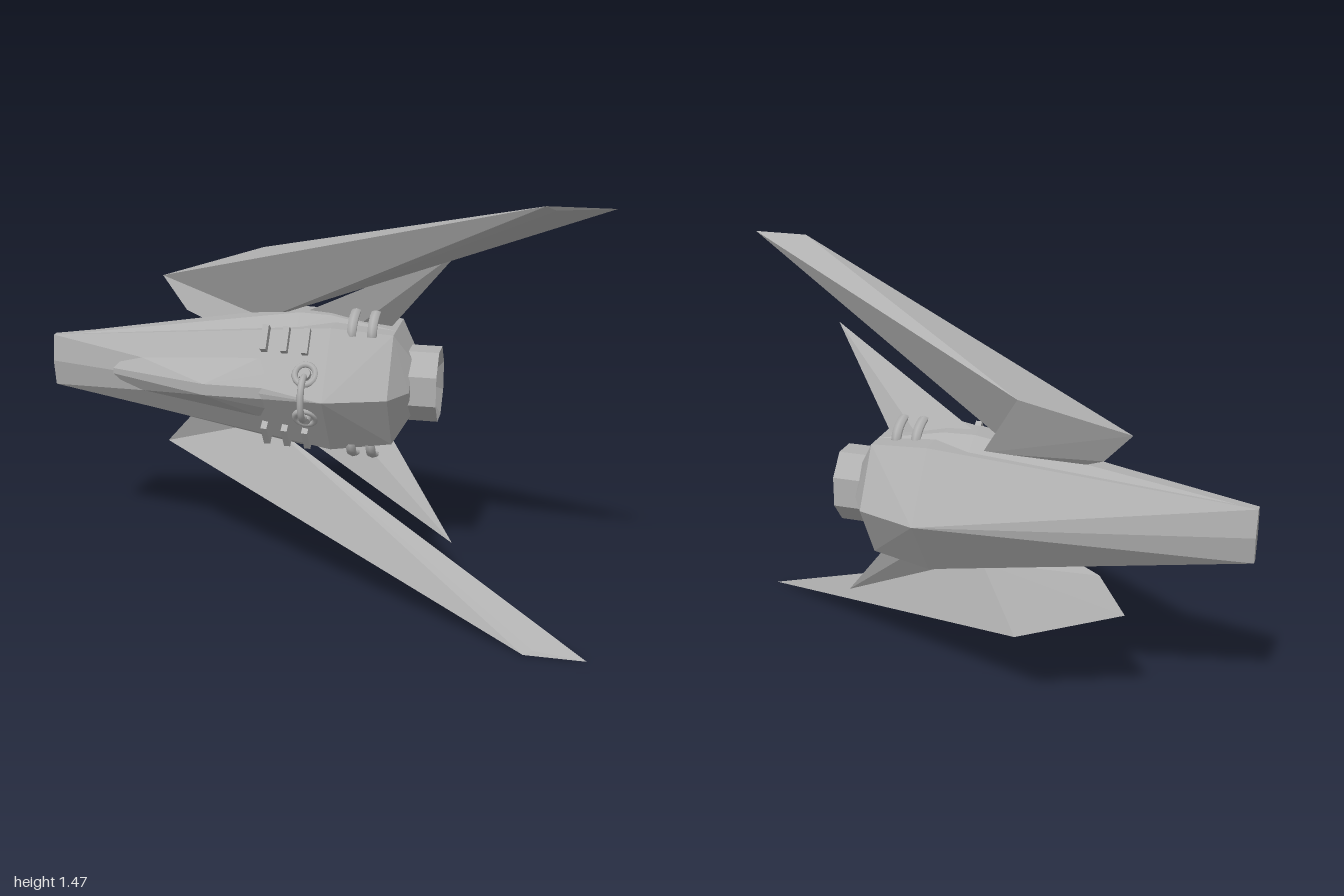
import * as THREE from 'three';
import { ConvexGeometry } from 'three/addons/geometries/ConvexGeometry.js';

const CY = 0.736; // height of the mirror plane between upper and lower halves

export function createModel() {
  const root = new THREE.Group();
  root.name = 'spacecraft';
  const hullGrey = new THREE.MeshStandardMaterial({ color: 0xb0b0b0 });
  hullGrey.name = 'hull grey';

  const add = (name, geo, x = 0, y = 0, z = 0) => {
    const m = new THREE.Mesh(geo, hullGrey);
    m.name = name;
    m.position.set(x, CY + y, z);
    root.add(m);
    return m;
  };
  // faceted solid from corner points; y is measured from the mirror plane
  const solid = (name, pts, s = 1) =>
    add(name, new ConvexGeometry(pts.map(([x, y, z]) => new THREE.Vector3(x, y * s, z))));
  const flat = (geo) => {
    const g = geo.toNonIndexed();
    g.computeVertexNormals();
    return g;
  };
  const bothSides = (pts) => pts.flatMap(([x, y, z]) => [[x, y, z], [x, -y, z]]);

  // hexagonal fuselage: x, half height, rear ridge, rear corner, front corner, front ridge
  const sections = [
    [-1, 0.095, -0.14, -0.125, -0.10, -0.085],
    [0.07, 0.22, -0.412, -0.257, 0.035, 0.19],
    [0.28, 0.197, -0.34, -0.225, 0.0, 0.12],
    [0.34, 0.10, -0.235, -0.17, -0.05, 0.015],
  ];
  solid('fuselage', sections.flatMap(([x, h, zb, zbc, zfc, zf]) =>
    [[x, 0, zb], [x, h, zbc], [x, h, zfc], [x, 0, zf], [x, -h, zfc], [x, -h, zbc]]));

  // raised canopy along the front ridge
  solid('canopy', bothSides([
    [-0.74, 0.01, -0.012], [-0.68, 0.07, -0.025], [-0.18, 0.105, 0.065], [-0.11, 0.07, 0.095],
    [-0.36, 0.02, 0.13], [-0.18, 0.02, 0.13], [-0.12, 0.02, 0.13],
    [-0.68, 0.05, -0.06], [-0.12, 0.07, 0.03],
  ]));

  // eight-sided exhaust with a sunken cone
  const engineShell = new THREE.CylinderGeometry(0.113, 0.113, 0.12, 8, 1, true);
  engineShell.rotateY(Math.PI / 8).rotateZ(-Math.PI / 2).scale(1, 1.2, 1);
  add('engineShell', flat(engineShell), 0.37, 0, -0.11);
  const engineCone = new THREE.CylinderGeometry(0.113, 0.0001, 0.06, 8, 1, true);
  engineCone.rotateY(Math.PI / 8).rotateZ(-Math.PI / 2).scale(1, 1.2, 1);
  // turn the faces inward so the bowl shows from behind
  const idx = engineCone.index.array;
  for (let i = 0; i < idx.length; i += 3) [idx[i], idx[i + 1]] = [idx[i + 1], idx[i]];
  add('engineBowl', flat(engineCone), 0.40, 0, -0.11);

  for (const s of [1, -1]) {
    const side = s > 0 ? 'upper' : 'lower';

    // spine over the fuselage edge
    solid(side + 'Spine', [
      [-0.95, 0.10, -0.125], [-0.95, 0.10, -0.10],
      [-0.06, 0.244, -0.15], [-0.06, 0.244, -0.06], [0.05, 0.24, -0.15], [0.05, 0.24, -0.06],
      [-0.06, 0.2, -0.22], [-0.06, 0.2, 0.0], [0.28, 0.197, -0.16], [0.28, 0.197, -0.06],
    ], s);

    // long forward-swept wing with a triangular root
    const A = [-0.6, 0.319, -0.19], B = [-0.24, 0.424, -0.265], E = [-0.2, 0.195, -0.13];
    solid(side + 'Wing', [A, B, E,
      [0.995, 0.736, 0.415], [0.79, 0.736, 0.415], [0.82, 0.722, 0.405]], s);
    solid(side + 'WingRoot', [A, B, E,
      [-0.5, 0.205, -0.15], [-0.38, 0.16, -0.13], [-0.1, 0.2, -0.19]], s);

    // thin rear fin
    solid(side + 'Fin', [
      [0.51, 0.522, 0.065], [-0.07, 0.225, -0.11], [0.25, 0.19, -0.11],
      [0.14, 0.2, -0.085], [0.14, 0.2, -0.135],
    ], s);

    // curved bands over the spine
    for (const x of [0.14, 0.21]) {
      const band = new THREE.TorusGeometry(0.1, 0.015, 6, 12, Math.PI);
      band.scale(1, 0.65, 1.2).rotateY(Math.PI / 2);
      if (s < 0) band.rotateX(Math.PI);
      add(side + 'Band', band, x, 0.195 * s, -0.075);
    }

    // short ribs on the front facet
    for (const x of [-0.16, -0.085, -0.01]) {
      const drop = (x + 0.01) * 0.13;
      const rib = add(side + 'Rib', new THREE.BoxGeometry(0.022, 0.09, 0.035),
        x, 0.172 * s, 0.06 + drop);
      rib.rotation.x = -0.61 * s;
    }

    // socket rings that hold the handle
    const ring = add(side + 'Socket', new THREE.TorusGeometry(0.036, 0.011, 8, 20),
      0, 0.077 * s, 0.124);
    ring.rotation.x = -0.61 * s;
    const boss = new THREE.CylinderGeometry(0.02, 0.024, 0.03, 12).rotateX(Math.PI / 2);
    add(side + 'SocketBoss', boss, 0, 0.077 * s, 0.125).rotation.x = -0.61 * s;
  }

  // bowed handle between the two sockets
  const bow = new THREE.CatmullRomCurve3(
    [[0.075, 0.12], [0.068, 0.17], [0.035, 0.197], [-0.035, 0.197], [-0.068, 0.17], [-0.075, 0.12]]
      .map(([y, z]) => new THREE.Vector3(0, y, z)));
  add('handle', new THREE.TubeGeometry(bow, 24, 0.012, 8));

  return root;
}
